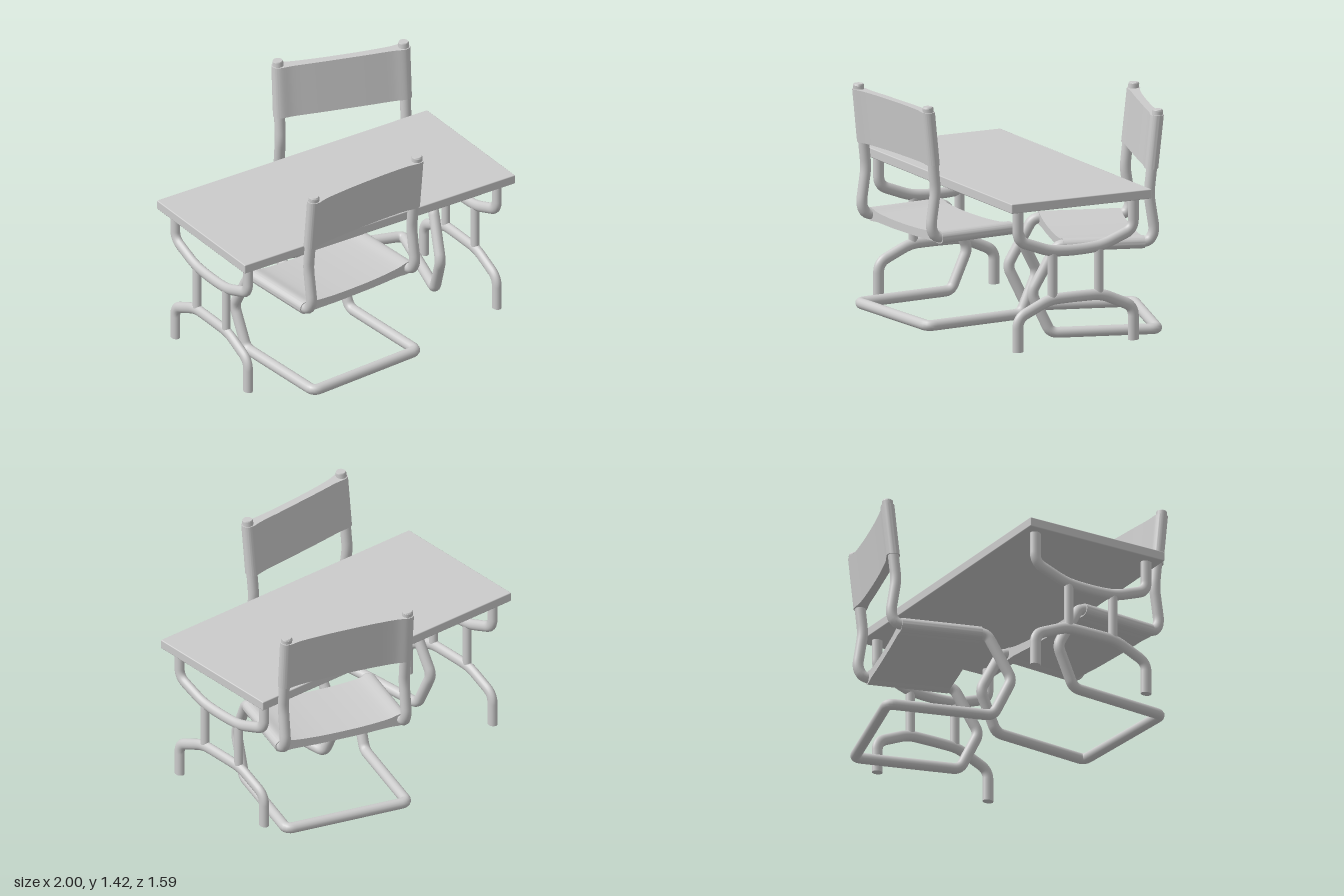
import * as THREE from 'three';
import { toCreasedNormals } from 'three/addons/utils/BufferGeometryUtils.js';
import { RoundedBoxGeometry } from 'three/addons/geometries/RoundedBoxGeometry.js';

const material = new THREE.MeshStandardMaterial({ color: 0xcccccc });
const V = (x, y, z) => new THREE.Vector3(x, y, z);

function add(parent, name, geometry, x = 0, y = 0, z = 0) {
  const mesh = new THREE.Mesh(geometry, material);
  mesh.name = name;
  mesh.position.set(x, y, z);
  parent.add(mesh);
  return mesh;
}

// Straight runs joined by small rounded bends
function bentPath(points, bend) {
  const path = new THREE.CurvePath();
  let from = points[0];
  for (let i = 1; i < points.length - 1; i++) {
    const p = points[i];
    const towards = (q) => p.clone().lerp(q, Math.min(0.45, bend / p.distanceTo(q)));
    const a = towards(points[i - 1]);
    const b = towards(points[i + 1]);
    path.add(new THREE.LineCurve3(from, a));
    path.add(new THREE.QuadraticBezierCurve3(a, p, b));
    from = b;
  }
  path.add(new THREE.LineCurve3(from, points[points.length - 1]));
  return path;
}

const bentTube = (points, bend, radius, segments) =>
  new THREE.TubeGeometry(bentPath(points, bend), segments, radius, 16, false);

// Sling section: wraps a tube at each end, thinner and sagging between them
function slingGeometry(half, length, sag) {
  const r = 0.041;
  const upper = [[-half, r], [-half * 0.8, 0.031 - sag * 0.4], [-half * 0.4, 0.027 - sag * 0.9],
    [0, 0.026 - sag]];
  const lower = [[0, -0.026 - sag], [-half * 0.4, -0.027 - sag * 0.9],
    [-half * 0.8, -0.031 - sag * 0.4], [-half, -r]];
  const k = r * Math.SQRT1_2;
  const leftEnd = [[-half - k, -k], [-half - r, 0], [-half - k, k]];
  const mirror = (list) => list.map(([x, y]) => [-x, y]).reverse();
  const outline = [...leftEnd, ...upper, ...mirror(upper).slice(1), ...mirror(leftEnd),
    ...mirror(lower), ...lower.slice(1)].map(([x, y]) => new THREE.Vector2(x, y));
  const curve = new THREE.CatmullRomCurve3(outline.map((p) => V(p.x, p.y, 0)), true);
  const shape = new THREE.Shape(curve.getPoints(100).slice(0, -1).map((p) => new THREE.Vector2(p.x, p.y)));
  const geometry = new THREE.ExtrudeGeometry(shape, { depth: length, bevelEnabled: false, steps: 1 });
  return toCreasedNormals(geometry, 0.7);
}

// Cantilever chair facing +z, origin below the tops of its back posts
function makeChair(name) {
  const chair = new THREE.Group();
  chair.name = name;
  const half = 0.403;
  const radius = 0.034;

  // One continuous tube: post, seat rail, front leg, floor runner, rear bar, and back up
  const side = [[1.415, 0], [0.89, 0.055], [0.66, 0.02], [0.593, 0.055],
    [0.593, 0.63], [0.3, 0.79], [0.045, 0.67], [0.045, 0]];
  const left = side.map(([y, z]) => V(half, y, z));
  const right = side.map(([y, z]) => V(-half, y, z)).reverse();
  add(chair, 'frame', bentTube([...left, ...right], 0.045, radius, 420));
  for (const s of [-1, 1]) {
    add(chair, 'postCap', new THREE.CylinderGeometry(radius * 0.85, radius, 0.012, 16), s * half, 1.416, 0);
  }

  // Seat sling around the two rails
  add(chair, 'seat', slingGeometry(half, 0.51, 0.018), 0, 0.593, 0.085);

  // Backrest sling, stood upright and sheared to follow the leaning posts
  const back = slingGeometry(half, 0.335, 0.012);
  back.rotateX(-Math.PI / 2);
  const slope = 0.055 / 0.525;
  back.applyMatrix4(new THREE.Matrix4().set(1, 0, 0, 0, 0, 1, 0, 0, 0, -slope, -1, 0, 0, 0, 0, 1)
    .multiply(new THREE.Matrix4().makeScale(1, 1, -1)));
  add(chair, 'backrest', back, 0, 1.053, slope * (1.415 - 1.053));
  return chair;
}

// End support of the table: upper cradle, lower arch and two uprights
function makeTrestle(name) {
  const trestle = new THREE.Group();
  trestle.name = name;
  const radius = 0.035;
  const symmetric = (half) => [
    ...half.map(([z, y]) => V(0, y, z)),
    ...half.slice().reverse().map(([z, y]) => V(0, y, -z)),
  ];
  add(trestle, 'upperCradle',
    bentTube(symmetric([[0.4, 0.9], [0.4, 0.695], [0.18, 0.613], [0.06, 0.604]]), 0.06, radius, 140));
  add(trestle, 'lowerArch',
    bentTube(symmetric([[0.4, 0], [0.4, 0.21], [0.18, 0.308], [0.06, 0.31]]), 0.06, radius, 140));
  for (const s of [-1, 1]) {
    add(trestle, 'upright', new THREE.CylinderGeometry(0.031, 0.031, 0.3, 16), 0, 0.457, s * 0.16);
    add(trestle, 'foot', new THREE.CylinderGeometry(radius, radius, 0.01, 16), 0, 0.005, s * 0.4);
  }
  trestle.scale.x = 0.8;
  return trestle;
}

export function createModel() {
  const model = new THREE.Group();
  model.name = 'tableWithTwoChairs';

  // Table
  const table = new THREE.Group();
  table.name = 'table';
  table.position.z = 0.065;
  add(table, 'tabletop', new RoundedBoxGeometry(2, 0.06, 0.97, 2, 0.006), 0, 0.92, 0);
  for (const s of [-1, 1]) {
    const trestle = makeTrestle(s > 0 ? 'leftTrestle' : 'rightTrestle');
    trestle.position.x = s * 0.92;
    table.add(trestle);
  }
  model.add(table);

  // Chairs on opposite sides, each turned a little
  const frontChair = makeChair('frontChair');
  frontChair.position.set(-0.227, 0, 0.728);
  frontChair.rotation.y = Math.PI + 0.075;
  const rearChair = makeChair('rearChair');
  rearChair.position.set(0.507, 0, -0.638);
  rearChair.rotation.y = -0.3;
  model.add(frontChair, rearChair);
  return model;
}
